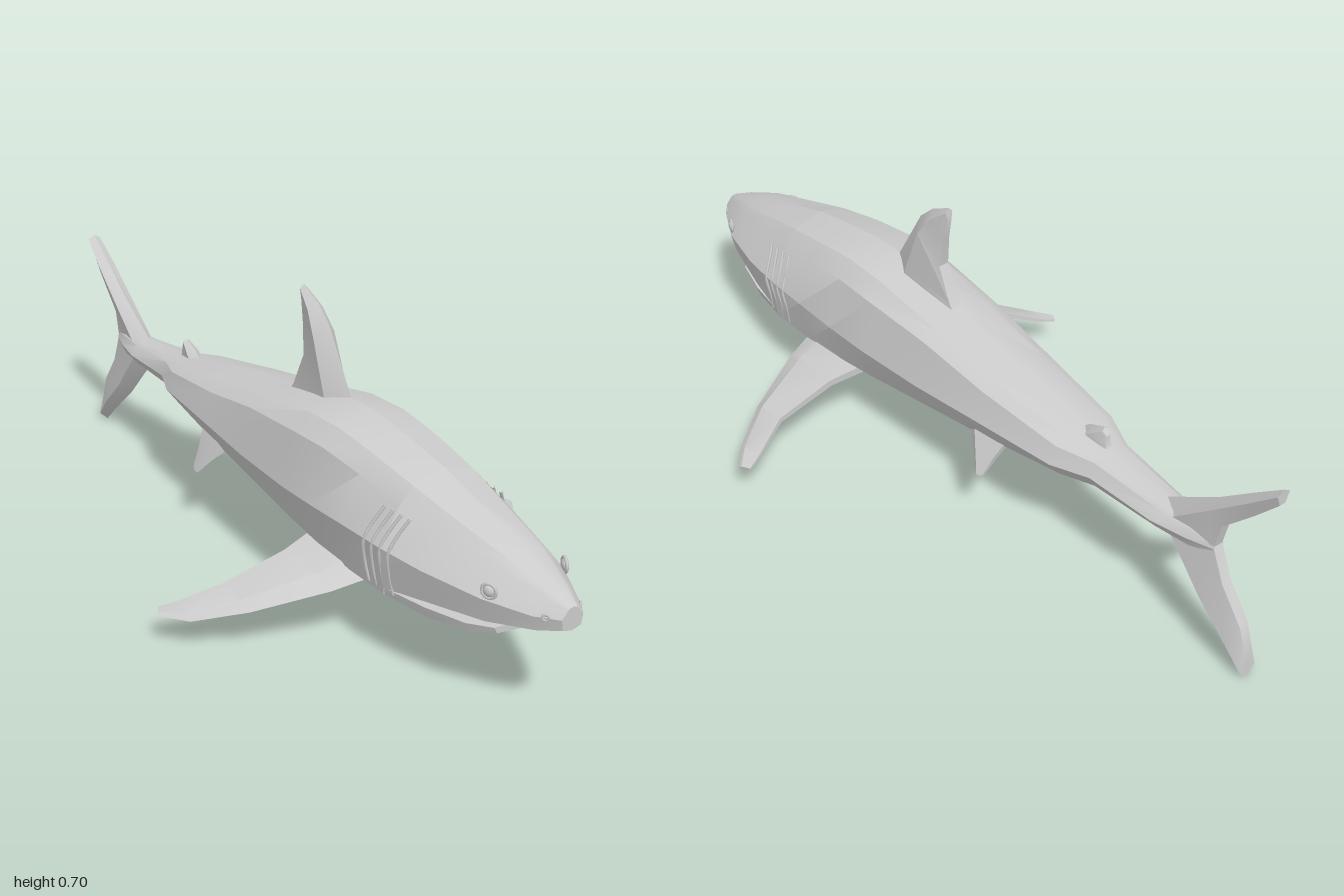
import * as THREE from 'three';
import { toCreasedNormals } from 'three/addons/utils/BufferGeometryUtils.js';

const grey = new THREE.MeshStandardMaterial({ color: 0xcccccc });
const V = (x, y, z) => new THREE.Vector3(x, y, z);

// Closed skin through rings of equal length, with fan caps; always wound outwards
function loft(rings, crease) {
  const tris = [];
  const n = rings[0].length;
  for (let i = 0; i < rings.length - 1; i++) {
    for (let j = 0; j < n; j++) {
      const k = (j + 1) % n;
      const a = rings[i][j], b = rings[i][k], c = rings[i + 1][j], d = rings[i + 1][k];
      tris.push([a, b, c], [b, d, c]);
    }
  }
  const cap = (ring, flip) => {
    const mid = ring.reduce((s, p) => s.add(p), V(0, 0, 0)).divideScalar(n);
    for (let j = 0; j < n; j++) {
      const a = ring[j], b = ring[(j + 1) % n];
      tris.push(flip ? [b, a, mid] : [a, b, mid]);
    }
  };
  cap(rings[0], true);
  cap(rings[rings.length - 1], false);
  const volume = tris.reduce((s, [a, b, c]) => s + a.dot(V(0, 0, 0).crossVectors(b, c)), 0);
  const points = tris.flatMap(([a, b, c]) => (volume < 0 ? [a, c, b] : [a, b, c]));
  const geometry = new THREE.BufferGeometry().setFromPoints(points);
  return toCreasedNormals(geometry, crease);
}

function add(group, name, geometry) {
  const mesh = new THREE.Mesh(geometry, grey);
  mesh.name = name;
  group.add(mesh);
  return mesh;
}

// Ring from a right half profile that starts and ends on the centre plane
function mirrorRing(half, z) {
  const right = half.map(([x, y]) => V(x, y, z));
  const left = half.slice(1, -1).reverse().map(([x, y]) => V(-x, y, z));
  return [...right, ...left];
}

// Trunk section: back ridge, shoulder, widest point, lower corner, belly
function trunkRing([z, top, sx, sy, mx, my, lx, ly, bottom]) {
  return mirrorRing([
    [0, top], [sx * 0.7, top - (top - sy) * 0.38], [sx, sy], [mx, my], [lx, ly], [0, bottom],
  ], z);
}

// Fin blade: sections of [leading point, trailing point, half thickness]
function fin(sections, thickDir) {
  const rings = sections.map(([lead, trail, t]) => {
    const at = (f, s) => V(...lead).lerp(V(...trail), f).addScaledVector(thickDir, s * t);
    return [at(0, 0), at(0.28, 1), at(1, 0.45), at(1, -0.45), at(0.28, -1)];
  });
  return loft(rings, 0.5);
}

// z, top, shoulder x y, widest x y, lower corner x y, bottom
const TRUNK = [
  [0.58, 0.448, 0.115, 0.385, 0.165, 0.30, 0.150, 0.185, 0.142],
  [0.45, 0.472, 0.125, 0.41, 0.168, 0.30, 0.145, 0.182, 0.134],
  [0.32, 0.490, 0.130, 0.425, 0.166, 0.295, 0.136, 0.185, 0.140],
  [0.20, 0.486, 0.130, 0.422, 0.160, 0.29, 0.128, 0.195, 0.155],
  [0.00, 0.440, 0.118, 0.405, 0.146, 0.29, 0.112, 0.215, 0.195],
  [-0.20, 0.410, 0.106, 0.372, 0.130, 0.30, 0.096, 0.235, 0.217],
  [-0.43, 0.366, 0.085, 0.345, 0.102, 0.30, 0.070, 0.258, 0.248],
  [-0.52, 0.348, 0.050, 0.335, 0.064, 0.30, 0.046, 0.268, 0.260],
  [-0.70, 0.330, 0.036, 0.318, 0.055, 0.295, 0.036, 0.268, 0.262],
  [-0.79, 0.328, 0.026, 0.318, 0.036, 0.295, 0.026, 0.27, 0.262],
  [-0.85, 0.315, 0.012, 0.31, 0.016, 0.295, 0.012, 0.28, 0.275],
];

const HEAD = [
  [1.00, 0.306, 0.014, 0.30, 0.028, 0.283, 0.024, 0.258, 0.252],
  [0.95, 0.330, 0.034, 0.318, 0.062, 0.28, 0.052, 0.245, 0.238],
  [0.85, 0.370, 0.066, 0.345, 0.112, 0.288, 0.098, 0.232, 0.226],
  [0.70, 0.412, 0.095, 0.368, 0.150, 0.296, 0.134, 0.218, 0.216],
  [0.58, 0.448, 0.115, 0.385, 0.165, 0.30, 0.152, 0.200, 0.200],
];

export function createModel() {
  const shark = new THREE.Group();
  shark.name = 'shark';

  add(shark, 'body', loft(TRUNK.map(trunkRing), 0.45));
  add(shark, 'head', loft(HEAD.map(trunkRing), 0.45));

  // Lower jaw: z, half width, rim height, side foot x y, keel height
  const jaw = [
    [0.85, 0.070, 0.207, 0.062, 0.192, 0.184],
    [0.80, 0.106, 0.206, 0.098, 0.184, 0.174],
    [0.70, 0.134, 0.204, 0.126, 0.178, 0.158],
    [0.57, 0.152, 0.200, 0.149, 0.184, 0.142],
  ].map(([z, w, rim, fx, fy, keel]) =>
    mirrorRing([[0, rim - 0.008], [w * 0.86, rim - 0.008], [w * 0.9, rim], [w, rim], [fx, fy], [0, keel]], z));
  add(shark, 'lowerJaw', loft(jaw, 0.45));

  // Fins on the centre plane
  const side = V(1, 0, 0);
  const centreFins = {
    dorsalFin: [
      [[0, 0.44, 0.27], [0, 0.41, 0.00], 0.034],
      [[0, 0.50, 0.235], [0, 0.455, 0.03], 0.033],
      [[0, 0.635, 0.155], [0, 0.54, 0.07], 0.030],
      [[0, 0.675, 0.11], [0, 0.62, 0.06], 0.021],
      [[0, 0.705, 0.05], [0, 0.67, 0.046], 0.010],
    ],
    secondDorsalFin: [
      [[0, 0.345, -0.41], [0, 0.335, -0.52], 0.020],
      [[0, 0.378, -0.45], [0, 0.352, -0.51], 0.018],
      [[0, 0.396, -0.495], [0, 0.380, -0.508], 0.010],
    ],
    analFin: [
      [[0, 0.275, -0.42], [0, 0.28, -0.51], 0.020],
      [[0, 0.243, -0.45], [0, 0.255, -0.50], 0.018],
      [[0, 0.225, -0.49], [0, 0.232, -0.51], 0.010],
    ],
    upperTailLobe: [
      [[0, 0.325, -0.69], [0, 0.275, -0.845], 0.030],
      [[0, 0.420, -0.835], [0, 0.365, -0.865], 0.027],
      [[0, 0.500, -0.935], [0, 0.450, -0.945], 0.024],
      [[0, 0.550, -1.00], [0, 0.512, -1.00], 0.018],
    ],
    lowerTailLobe: [
      [[0, 0.265, -0.69], [0, 0.310, -0.845], 0.030],
      [[0, 0.135, -0.815], [0, 0.215, -0.885], 0.029],
      [[0, 0.055, -0.91], [0, 0.135, -0.945], 0.028],
      [[0, 0.000, -0.97], [0, 0.080, -0.965], 0.024],
    ],
  };
  for (const [name, sections] of Object.entries(centreFins)) add(shark, name, fin(sections, side));

  // Paired parts
  for (const [s, label] of [[1, 'left'], [-1, 'right']]) {
    const flip = (sections) => sections.map(([a, b, t]) =>
      [[a[0] * s, a[1], a[2]], [b[0] * s, b[1], b[2]], t]);

    add(shark, label + 'PectoralFin', fin(flip([
      [[0.09, 0.175, 0.49], [0.09, 0.185, 0.25], 0.024],
      [[0.20, 0.148, 0.455], [0.20, 0.165, 0.275], 0.020],
      [[0.36, 0.108, 0.375], [0.36, 0.128, 0.27], 0.015],
      [[0.465, 0.080, 0.295], [0.455, 0.092, 0.225], 0.010],
      [[0.510, 0.080, 0.235], [0.495, 0.084, 0.207], 0.005],
    ]), V(0.27 * s, 0.96, 0)));

    add(shark, label + 'PelvicFin', fin(flip([
      [[0.085, 0.255, -0.12], [0.08, 0.26, -0.27], 0.016],
      [[0.115, 0.200, -0.18], [0.11, 0.205, -0.25], 0.013],
      [[0.138, 0.154, -0.22], [0.135, 0.162, -0.24], 0.007],
    ]), V(0.86 * s, 0.5, 0)));

    // Gill slits wrapped on the flank
    for (let i = 0; i < 4; i++) {
      const z = 0.525 + i * 0.027;
      const shrink = i * 0.0015;
      const path = new THREE.CatmullRomCurve3([
        V(s * (0.127 - shrink), 0.375, z + 0.022),
        V(s * (0.149 - shrink), 0.335, z + 0.008),
        V(s * (0.166 - shrink), 0.295, z),
        V(s * (0.158 - shrink), 0.24, z - 0.004),
        V(s * (0.150 - shrink), 0.195, z + 0.002),
      ]);
      add(shark, label + 'GillSlit' + (i + 1), new THREE.TubeGeometry(path, 12, 0.004, 5));
    }

    // Eye ball in a raised rim, turned to face out and forward
    const eye = new THREE.Group();
    eye.name = label + 'Eye';
    eye.position.set(s * 0.101, 0.308, 0.862);
    eye.rotation.y = s * 1.15;
    add(eye, 'eyeRim', new THREE.TorusGeometry(0.016, 0.004, 6, 14));
    add(eye, 'eyeBall', new THREE.SphereGeometry(0.013, 12, 8)).scale.z = 0.6;
    shark.add(eye);

    // Nostril
    const nostril = add(shark, label + 'Nostril', new THREE.TorusGeometry(0.007, 0.003, 5, 10));
    nostril.position.set(s * 0.046, 0.282, 0.972);
    nostril.rotation.y = s * 0.9;
  }
  return shark;
}
